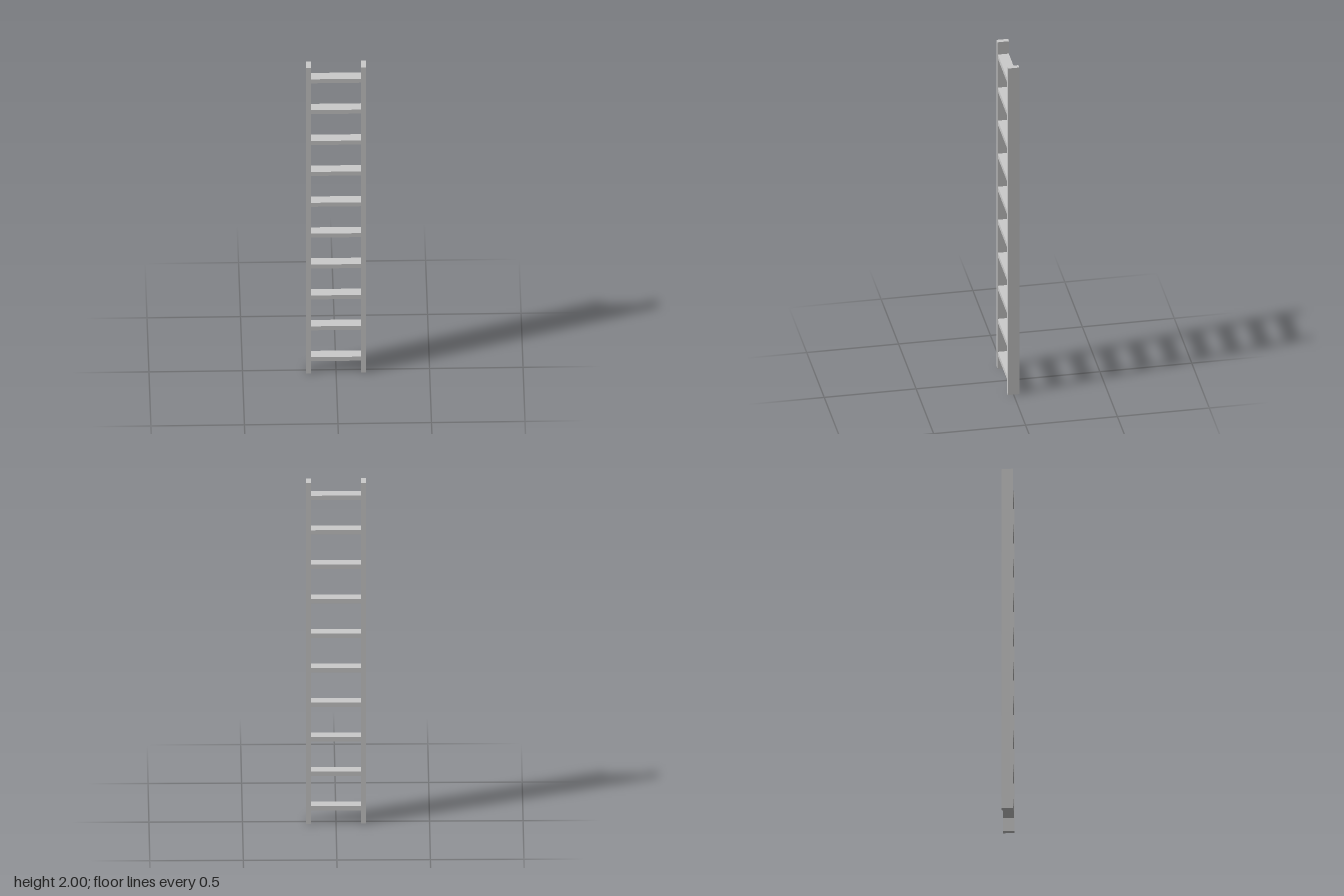
import * as THREE from 'three';

export function createModel() {
  const ladder = new THREE.Group();
  ladder.name = 'ladder';
  const material = new THREE.MeshStandardMaterial({ color: 0xcccccc, flatShading: true });

  const width = 0.32, height = 2, railWidth = 0.027, railDepth = 0.062;

  function addBox(name, size, position) {
    const mesh = new THREE.Mesh(new THREE.BoxGeometry(...size), material);
    mesh.name = name;
    mesh.position.set(...position);
    ladder.add(mesh);
  }

  // Two upright side rails
  for (const side of [-1, 1]) {
    addBox(side > 0 ? 'leftRail' : 'rightRail',
      [railWidth, height, railDepth],
      [side * (width - railWidth) / 2, height / 2, 0]);
  }

  // Ten evenly spaced flat rungs, fitted between the rails
  const rungCount = 10, firstRung = 0.091, rungSpacing = 0.2023;
  for (let i = 0; i < rungCount; i++) {
    addBox(`rung${i + 1}`,
      [width - 2 * railWidth, 0.026, 0.059],
      [0, firstRung + i * rungSpacing, 0]);
  }

  return ladder;
}
